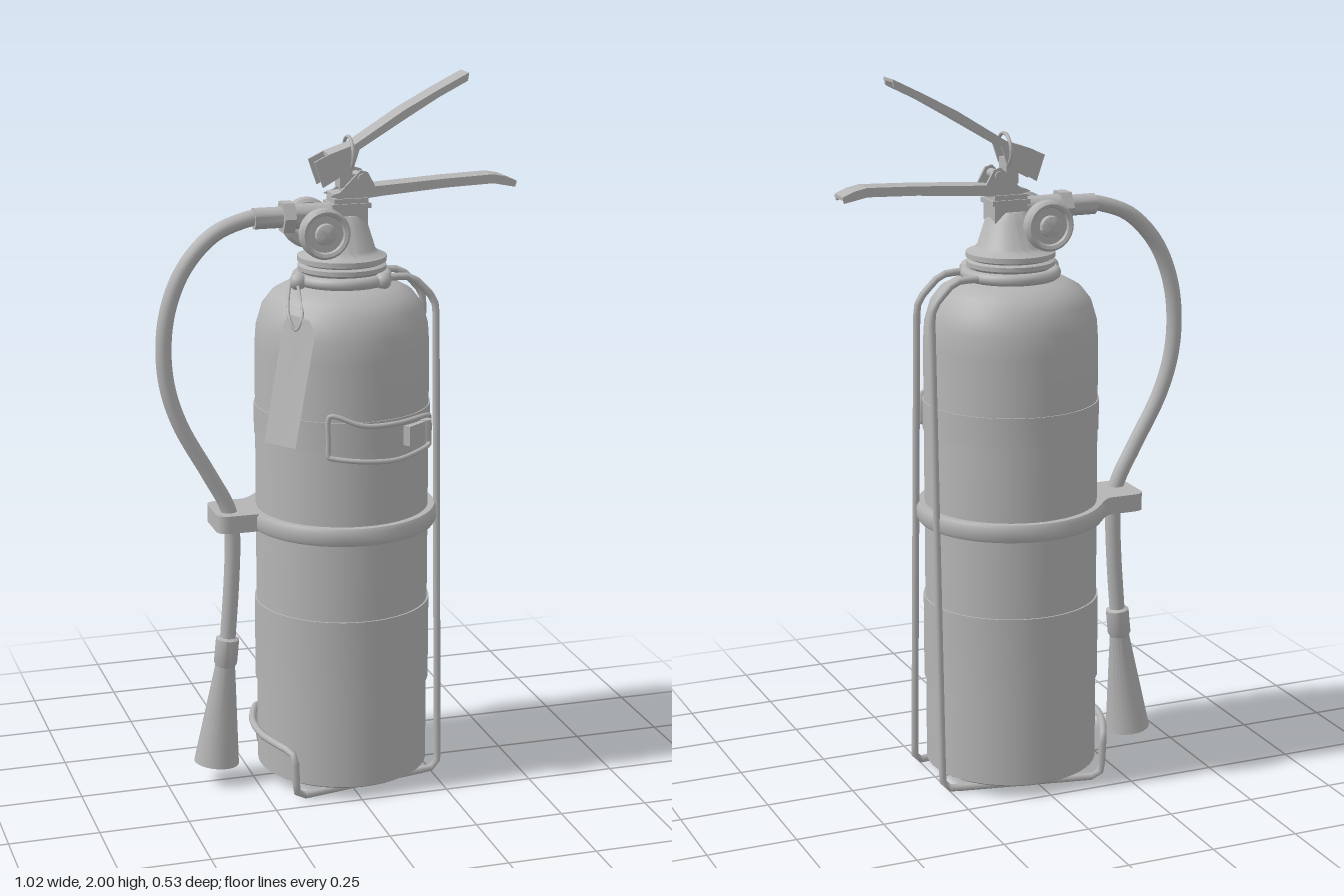
import * as THREE from 'three';
import { toCreasedNormals } from 'three/addons/utils/BufferGeometryUtils.js';

const CX = 0.015; // axis of the tank
const V = (x, y, z) => new THREE.Vector3(x, y, z);

export function createModel() {
  const model = new THREE.Group();
  model.name = 'fireExtinguisher';
  const grey = new THREE.MeshStandardMaterial({ color: 0xb4b4b4, side: THREE.DoubleSide });
  grey.name = 'plain grey';

  const add = (name, geo, x = 0, y = 0, z = 0) => {
    const m = new THREE.Mesh(geo, grey);
    m.name = name;
    m.position.set(x, y, z);
    model.add(m);
    return m;
  };
  const lathe = (pts, seg = 48) => toCreasedNormals(
    new THREE.LatheGeometry(pts.map(p => new THREE.Vector2(p[0], p[1])), seg), 0.6);
  const tube = (pts, r, seg = 64, closed = false, tension = 0.5) => new THREE.TubeGeometry(
    new THREE.CatmullRomCurve3(pts, closed, 'catmullrom', tension), seg, r, 10, closed);
  // straight wire with rounded bends
  const wire = (pts, r, bend = 0.03) => {
    const path = new THREE.CurvePath();
    let from = pts[0];
    for (let i = 1; i < pts.length - 1; i++) {
      const a = pts[i].clone().add(pts[i - 1].clone().sub(pts[i]).setLength(bend));
      const b = pts[i].clone().add(pts[i + 1].clone().sub(pts[i]).setLength(bend));
      path.add(new THREE.LineCurve3(from, a));
      path.add(new THREE.QuadraticBezierCurve3(a, pts[i], b));
      from = b;
    }
    path.add(new THREE.LineCurve3(from, pts[pts.length - 1]));
    return new THREE.TubeGeometry(path, 160, r, 8);
  };
  // side outline in x and y, extruded along z
  const plate = (pts, depth) => {
    const s = new THREE.Shape(pts.map(p => new THREE.Vector2(p[0], p[1])));
    return new THREE.ExtrudeGeometry(s, { depth, bevelEnabled: false }).translate(0, 0, -depth / 2);
  };
  // point on a cylinder around the tank axis, for a given front x
  const onTank = (x, y, r) => V(x, y, Math.sqrt(r * r - (x - CX) ** 2));

  // tank with rounded shoulder
  add('tank', lathe([[0, 0.04], [0.2, 0.04], [0.225, 0.03], [0.242, 0.04], [0.242, 1.26], [0.238, 1.32],
    [0.222, 1.375], [0.195, 1.41], [0.155, 1.432], [0.1, 1.445], [0.1, 1.47]]), CX);
  // label sleeve and upper band
  add('labelSleeve', lathe([[0.24, 0.29], [0.247, 0.29], [0.247, 0.53], [0.24, 0.53]]), CX);
  add('upperBand', lathe([[0.24, 1.015], [0.2455, 1.015], [0.2455, 1.1], [0.24, 1.1]]), CX);

  // clamp ring with the hose holder tab
  add('clampRing', lathe([[0.24, 0.755], [0.26, 0.755], [0.266, 0.765], [0.266, 0.795], [0.26, 0.805],
    [0.24, 0.805]]), CX);
  const tab = new THREE.Shape();
  tab.moveTo(-0.19, -0.05);
  tab.lineTo(-0.32, -0.05);
  tab.quadraticCurveTo(-0.355, -0.05, -0.355, -0.015);
  tab.lineTo(-0.355, 0.07);
  tab.quadraticCurveTo(-0.355, 0.105, -0.32, 0.105);
  tab.lineTo(-0.25, 0.105);
  tab.quadraticCurveTo(-0.23, 0.105, -0.19, 0.16);
  add('hoseHolder', new THREE.ExtrudeGeometry(tab, { depth: 0.05, bevelEnabled: false })
    .rotateX(-Math.PI / 2), 0, 0.755);

  // neck collar and valve cone
  add('neckCollar', lathe([[0.09, 1.465], [0.105, 1.465], [0.122, 1.475], [0.122, 1.487], [0.11, 1.492],
    [0.123, 1.498], [0.123, 1.512], [0.1, 1.522], [0.092, 1.53], [0.07, 1.6], [0.05, 1.625], [0, 1.625]]), CX);
  add('valveBlock', new THREE.BoxGeometry(0.095, 0.075, 0.08), 0.03, 1.635, 0);
  add('valveFlange', new THREE.BoxGeometry(0.11, 0.014, 0.09), 0.03, 1.652, 0);
  add('valveStem', new THREE.CylinderGeometry(0.022, 0.022, 0.09, 16), 0.03, 1.69, 0);

  // valve outlet, nut and hose ferrule
  const alongX = (name, r, x0, x1, sides = 24) => add(name, toCreasedNormals(
    new THREE.CylinderGeometry(r, r, x1 - x0, sides), 0.6).rotateZ(Math.PI / 2), (x0 + x1) / 2, 1.625, 0);
  alongX('outlet', 0.034, -0.13, 0.03);
  alongX('outletNut', 0.047, -0.157, -0.125, 6);
  alongX('hoseFerrule', 0.029, -0.235, -0.155);

  // cross axle with a round gauge on each side
  add('gaugeAxle', new THREE.CylinderGeometry(0.045, 0.045, 0.15, 24).rotateX(Math.PI / 2), -0.06, 1.59, 0);
  for (const s of [1, -1]) {
    const g = lathe([[0, 0.065], [0.06, 0.065], [0.069, 0.072], [0.069, 0.1], [0.062, 0.107], [0.053, 0.104],
      [0.05, 0.096], [0.03, 0.096], [0.028, 0.108], [0.014, 0.113], [0, 0.113]], 32).rotateX(Math.PI / 2);
    add('gauge', g, -0.06, 1.59, 0).rotation.y = s > 0 ? 0 : Math.PI;
  }

  // hose and discharge horn
  add('hose', tube([V(-0.2, 1.625, 0), V(-0.25, 1.625, 0), V(-0.35, 1.585, 0), V(-0.435, 1.49, 0),
    V(-0.482, 1.36, 0), V(-0.487, 1.21, 0), V(-0.45, 1.07, 0), V(-0.37, 0.92, 0), V(-0.318, 0.82, 0),
    V(-0.304, 0.74, 0), V(-0.308, 0.6, 0), V(-0.323, 0.4, 0)], 0.022, 96));
  const horn = add('horn', lathe([[0.022, 0.375], [0.033, 0.37], [0.033, 0.3], [0.028, 0.29],
    [0.064, 0], [0.058, 0.004], [0.022, 0.28]], 32), -0.358, 0.062, 0);
  horn.rotation.z = -0.1;

  // channel shaped levers: top plate with two side flanges
  const lever = (name, top, sides) => {
    const under = top.map(p => [p[0], p[1] - 0.009]).reverse();
    add(name, plate([...top, ...under], 0.068));
    for (const s of [1, -1]) add(name + 'Flange', plate(sides, 0.008), 0, 0, s * 0.03);
  };
  lever('upperLever', [[-0.03, 1.795], [0.04, 1.818], [0.18, 1.905], [0.28, 1.958], [0.365, 2]],
    [[-0.072, 1.775], [-0.048, 1.705], [0.037, 1.752], [0.055, 1.805], [0.19, 1.885], [0.28, 1.937],
      [0.362, 1.978], [0.365, 2], [0.28, 1.958], [0.18, 1.905], [0.04, 1.818], [-0.03, 1.795]]);
  lever('lowerLever', [[-0.02, 1.685], [0.1, 1.702], [0.3, 1.713], [0.44, 1.718], [0.475, 1.711], [0.509, 1.697]],
    [[-0.03, 1.68], [0.02, 1.665], [0.12, 1.675], [0.3, 1.688], [0.44, 1.693], [0.505, 1.68], [0.509, 1.697],
      [0.475, 1.711], [0.44, 1.718], [0.3, 1.713], [0.1, 1.702], [0.078, 1.742], [0.058, 1.748], [0, 1.69]]);
  add('leverPivot', new THREE.CylinderGeometry(0.013, 0.013, 0.08, 16).rotateX(Math.PI / 2), 0.062, 1.726, 0);
  add('leverLink', new THREE.BoxGeometry(0.035, 0.07, 0.05), 0.02, 1.735, 0);
  add('safetyRing', new THREE.TorusGeometry(0.046, 0.005, 8, 32).rotateY(Math.PI / 2), 0.033, 1.79, 0);

  // stand wire: two rear uprights, runners under the tank and a hook round the far side
  const half = s => [V(0.1, 1.453, s * 0.06), V(0.2, 1.453, s * 0.052), V(0.27, 1.38, s * 0.055),
    V(0.27, 0.013, s * 0.11), V(-0.178, 0.013, s * 0.2), V(-0.182, 0.143, s * 0.205),
    V(-0.215, 0.148, s * 0.13)];
  const low = [V(-0.238, 0.148, 0.05), V(-0.238, 0.148, -0.05)];
  add('standWire', wire([...half(1), ...low, ...half(-1).reverse()], 0.0105));
  add('neckWire', new THREE.TorusGeometry(0.122, 0.017, 10, 48).rotateX(Math.PI / 2), CX, 1.453, 0);
  for (const x of [-0.122, 0.1])
    add('wireEnd', new THREE.SphereGeometry(0.024, 16, 12), x, 1.453, x > 0 ? 0.1 : 0.04);

  // band latch: wire frame following the tank, hook plate and buckle
  const frame = [[-0.095, 1.05], [-0.095, 1.115], [-0.075, 1.122], [0, 1.095], [0.1, 1.092], [0.2, 1.09],
    [0.213, 1.075], [0.213, 1.02], [0.2, 1], [0.1, 0.99], [0, 0.995], [-0.085, 1.005], [-0.095, 1.015]];
  add('latchFrame', tube(frame.map(p => onTank(p[0], p[1], 0.262)), 0.007, 120, true));
  const curved = (name, a0, a1, y0, y1, r) => add(name, new THREE.CylinderGeometry(
    r, r, y1 - y0, 12, 1, true, a0, a1 - a0), CX, (y0 + y1) / 2, 0);
  curved('latchPlate', -0.42, 0.75, 1.015, 1.09, 0.256);
  const buckle = add('buckle', new THREE.BoxGeometry(0.1, 0.055, 0.025), 0.165, 1.052, 0.212);
  buckle.rotation.y = 0.62;
  const roll = add('buckleRoll', new THREE.CylinderGeometry(0.016, 0.016, 0.06, 16), 0.195, 1.052, 0.195);
  roll.rotation.y = 0.62;

  // hanging tag on a string loop
  const tag = new THREE.BufferGeometry();
  tag.setAttribute('position', new THREE.Float32BufferAttribute([
    -0.25, 1.04, 0.15, -0.187, 1.04, 0.237, -0.12, 1.345, 0.2,
    -0.13, 1.375, 0.18, -0.17, 1.385, 0.125, -0.183, 1.36, 0.112], 3));
  tag.setIndex([0, 1, 2, 0, 2, 3, 0, 3, 4, 0, 4, 5]);
  tag.computeVertexNormals();
  add('tag', tag);
  add('tagString', tube([V(-0.16, 1.345, 0.152), V(-0.172, 1.385, 0.12), V(-0.148, 1.445, 0.05),
    V(-0.125, 1.472, 0.03), V(-0.128, 1.44, 0.065), V(-0.142, 1.385, 0.15)], 0.0045, 48, true));

  return model;
}
